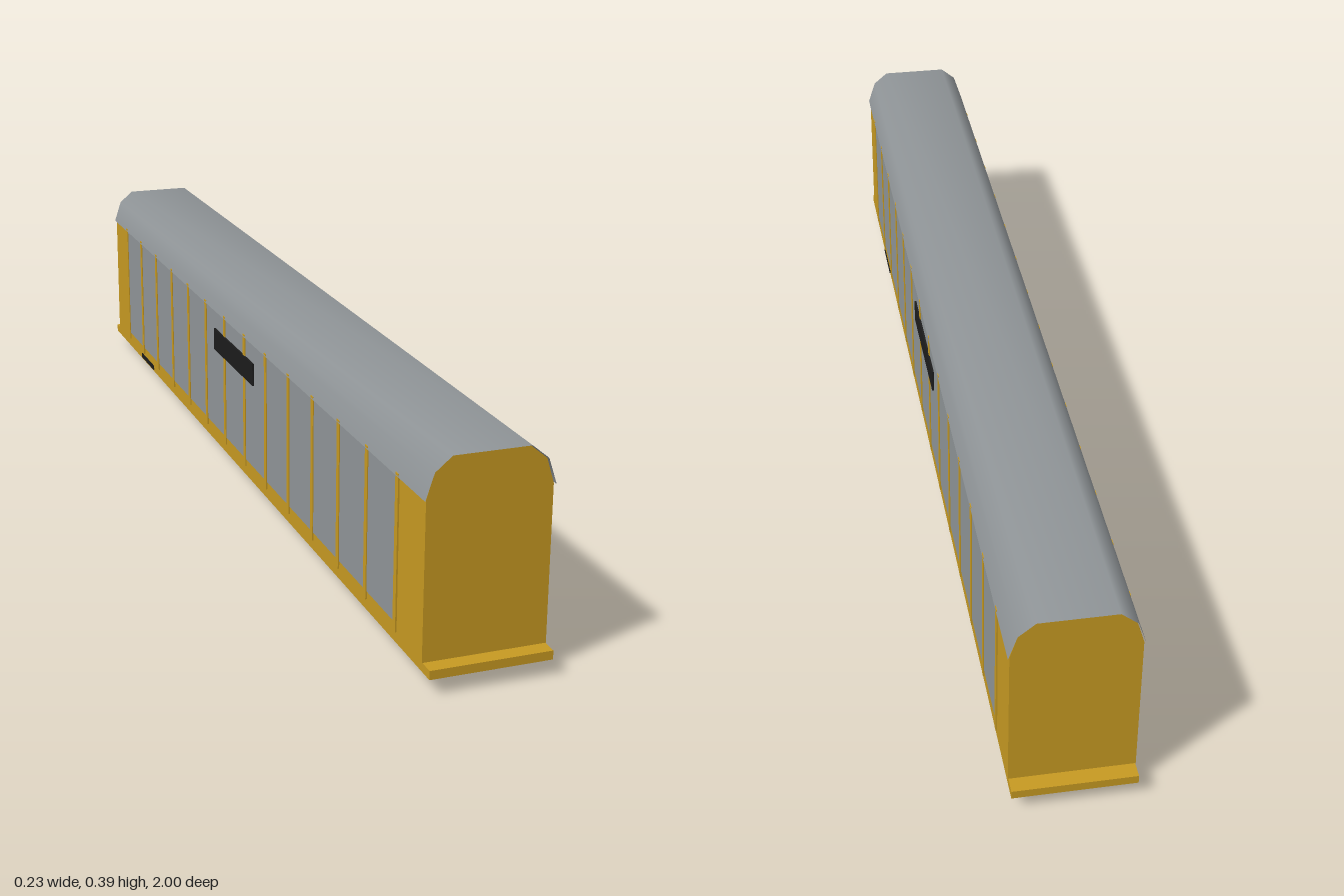
import * as THREE from 'three';

export function createModel() {
  const model = new THREE.Group();
  const material = (name, color, side = THREE.FrontSide) => {
    const m = new THREE.MeshStandardMaterial({ color, side });
    m.name = name;
    return m;
  };
  const yellow = material('yellow paint', 0xc69922);
  const grey = material('grey metal', 0x8f9497, THREE.DoubleSide);
  const black = material('black plate', 0x1c1c1c);

  const add = (name, geometry, mat, parent = model) => {
    const mesh = new THREE.Mesh(geometry, mat);
    mesh.name = name;
    parent.add(mesh);
    return mesh;
  };
  const box = (name, mat, x0, x1, y0, y1, z0, z1, parent) => {
    const mesh = add(name, new THREE.BoxGeometry(x1 - x0, y1 - y0, z1 - z0), mat, parent);
    mesh.position.set((x0 + x1) / 2, (y0 + y1) / 2, (z0 + z1) / 2);
    return mesh;
  };
  // Extrudes an outline centred along its depth
  const extrude = (points, depth) => {
    const shape = new THREE.Shape(points.map(([x, y]) => new THREE.Vector2(x, y)));
    return new THREE.ExtrudeGeometry(shape, { depth, bevelEnabled: false }).translate(0, 0, -depth / 2);
  };

  // Floor slab with end ledges
  box('floor', yellow, -0.108, 0.108, 0.029, 0.045, -1, 1);

  // Car body with chamfered top corners
  add('body', extrude([
    [-0.109, 0.044], [0.109, 0.044], [0.109, 0.323], [0.0955, 0.367], [0.0665, 0.391],
    [-0.0665, 0.391], [-0.0955, 0.367], [-0.109, 0.323],
  ], 1.942), yellow);

  // Centre sill, deepest at mid-length
  const sill = extrude([
    [-0.735, 0.03], [-0.735, 0.025], [-0.04, 0], [0.04, 0], [0.735, 0.025], [0.735, 0.03],
  ], 0.044);
  add('centreSill', sill.rotateY(Math.PI / 2), yellow);

  // Thin roof sheet, smooth across its folds
  const section = [
    [-0.1122, 0.322], [-0.097, 0.368], [-0.0675, 0.3925],
    [0.0675, 0.3925], [0.097, 0.368], [0.1122, 0.322],
  ];
  const positions = [];
  const index = [];
  section.forEach(([x, y], i) => {
    positions.push(x, y, 0.975, x, y, -0.975);
    if (i) {
      const a = 2 * (i - 1);
      index.push(a, a + 2, a + 1, a + 1, a + 2, a + 3);
    }
  });
  const roof = new THREE.BufferGeometry();
  roof.setAttribute('position', new THREE.Float32BufferAttribute(positions, 3));
  roof.setIndex(index);
  roof.computeVertexNormals();
  add('roof', roof, grey);

  // One side: panels, ribs and plates; the other is the same turned half round
  const bays = 13;
  const end = 0.86;
  const pitch = (2 * end) / bays;
  for (const [name, turn] of [['leftSide', 0], ['rightSide', Math.PI]]) {
    const side = new THREE.Group();
    side.name = name;
    side.rotation.y = turn;
    model.add(side);
    for (let i = 0; i <= bays; i++) {
      const z = -end + i * pitch;
      box('rib', yellow, 0.107, 0.1118, 0.05, 0.327, z - 0.006, z + 0.006, side);
      if (i < bays) box('panel', grey, 0.108, 0.11, 0.065, 0.327, z + 0.006, z + pitch - 0.006, side);
    }
    box('nameplate', black, 0.108, 0.1138, 0.239, 0.284, -0.127, 0.13, side);
    box('sillPlate', black, 0.106, 0.11, 0.033, 0.044, 0.645, 0.75, side);
  }
  return model;
}
